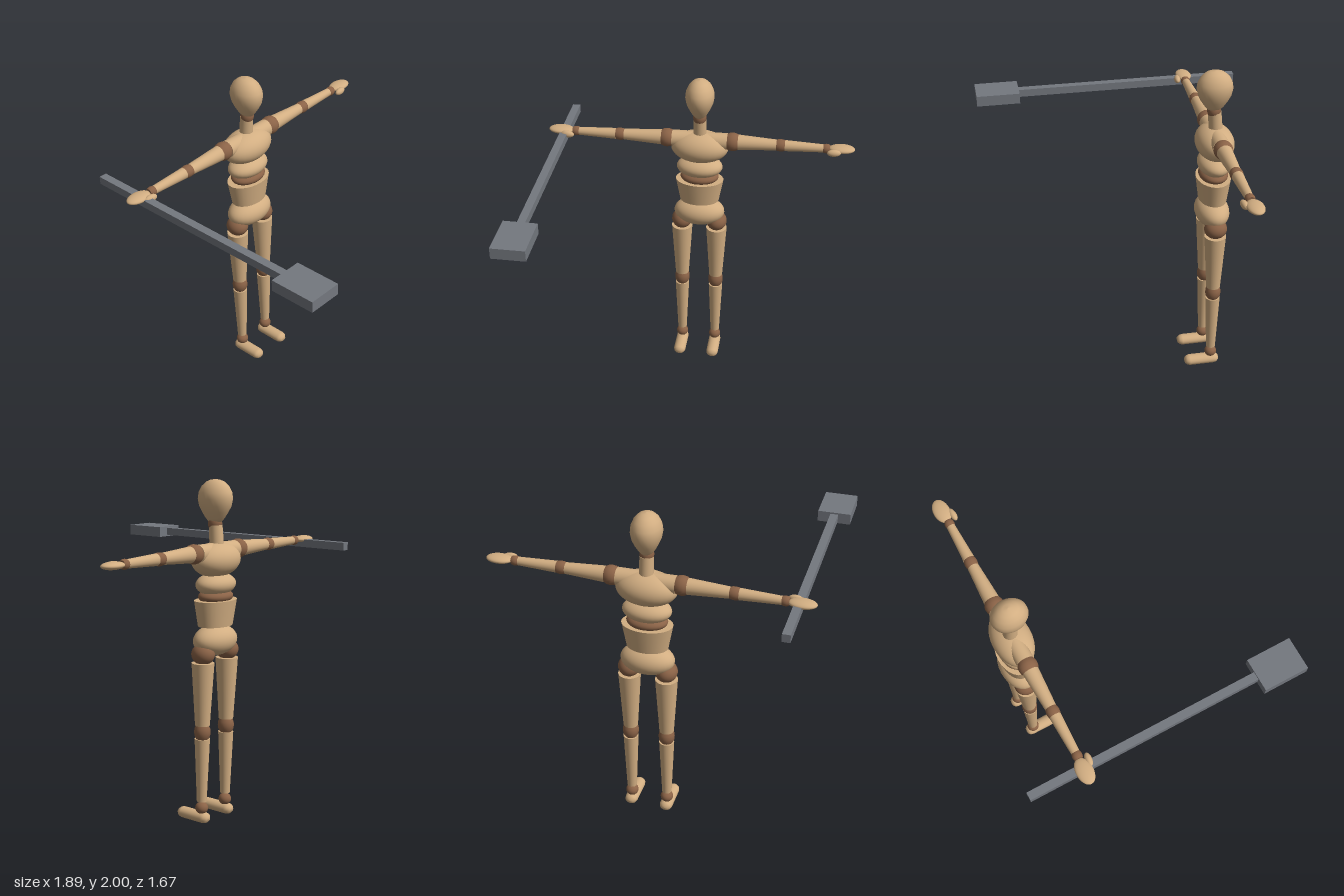
import * as THREE from 'three';

const wood = new THREE.MeshStandardMaterial({ color: 0xd2ae82 });
wood.name = 'light wood';
const joint = new THREE.MeshStandardMaterial({ color: 0x8b6347 });
joint.name = 'dark wood';
const metal = new THREE.MeshStandardMaterial({ color: 0x74787f });
metal.name = 'grey metal';

const Z = -0.505; // depth of the body's centre line

export function createModel() {
  const model = new THREE.Group();
  model.name = 'mannequin';

  function add(name, geometry, material, x, y, z = Z, parent = model) {
    const mesh = new THREE.Mesh(geometry, material);
    mesh.name = name;
    mesh.position.set(x, y, z);
    parent.add(mesh);
    return mesh;
  }
  function ellipsoid(name, material, x, y, z, rx, ry, rz, parent) {
    const mesh = add(name, new THREE.SphereGeometry(1, 28, 20), material, x, y, z, parent);
    mesh.scale.set(rx, ry, rz);
    return mesh;
  }
  const lathe = (points) =>
    new THREE.LatheGeometry(points.map(([r, y]) => new THREE.Vector2(r, y)), 28);
  // Closed turned bead: bulges in the middle, flat ends
  const bead = (r, end, half) =>
    lathe([[0, -half], [end, -half], [end, -half], [r * 0.95, -half * 0.55], [r, 0],
      [r * 0.95, half * 0.55], [end, half], [end, half], [0, half]]);
  const taper = (top, bottom, height) => new THREE.CylinderGeometry(top, bottom, height, 28);

  // Head and neck
  const head = add('head', lathe([[0, 1.75], [0.03, 1.757], [0.047, 1.78], [0.066, 1.815],
    [0.081, 1.85], [0.088, 1.89], [0.084, 1.925], [0.069, 1.96], [0.046, 1.985],
    [0.024, 1.996], [0, 2]]), wood, 0, 0, -0.495);
  head.scale.z = 1.22;
  add('neckJoint', bead(0.041, 0.035, 0.025), joint, 0, 1.75, -0.495);
  add('neck', taper(0.039, 0.042, 0.14), wood, 0, 1.67, -0.505).rotation.x = 0.08;

  // Torso
  ellipsoid('chest', wood, 0, 1.545, Z, 0.178, 0.1, 0.114);
  add('shoulderBar', taper(0.052, 0.052, 0.34), wood, 0, 1.59).rotation.z = Math.PI / 2;
  ellipsoid('ribs', wood, 0, 1.405, Z, 0.143, 0.067, 0.097);
  ellipsoid('waistJoint', joint, 0, 1.335, Z, 0.12, 0.045, 0.088);
  add('belly', taper(0.15, 0.122, 0.15), wood, 0, 1.24).scale.z = 0.69;
  ellipsoid('pelvis', wood, 0, 1.08, Z, 0.16, 0.09, 0.104);

  for (const side of [1, -1]) {
    // Arm: the local y axis runs outward from the shoulder
    const arm = new THREE.Group();
    arm.name = side > 0 ? 'leftArm' : 'rightArm';
    arm.position.set(0, 1.592, Z);
    arm.rotation.z = -side * Math.PI / 2;
    model.add(arm);
    add('shoulder', bead(0.057, 0.046, 0.036), joint, 0, 0.202, 0, arm);
    add('upperArm', taper(0.033, 0.047, 0.24), wood, 0, 0.355, 0, arm);
    add('elbow', bead(0.038, 0.032, 0.03), joint, 0, 0.496, 0, arm);
    add('forearm', taper(0.024, 0.034, 0.25), wood, 0, 0.647, 0, arm);
    add('wrist', bead(0.029, 0.023, 0.022), joint, 0, 0.772, 0, arm);
    ellipsoid('hand', wood, side * 0.866, 1.594, -0.51, 0.079, 0.022, 0.049);
    ellipsoid('thumb', wood, side * 0.82, 1.588, -0.461, 0.042, 0.022, 0.02)
      .rotation.y = side * 0.1;

    // Leg
    const leg = new THREE.Group();
    leg.name = side > 0 ? 'leftLeg' : 'rightLeg';
    leg.position.set(side * 0.111, 0, Z);
    model.add(leg);
    ellipsoid('hip', joint, 0, 1.01, 0, 0.065, 0.062, 0.07, leg);
    add('thigh', taper(0.066, 0.043, 0.37), wood, 0, 0.775, 0, leg);
    add('knee', bead(0.048, 0.036, 0.04), joint, 0, 0.55, 0, leg);
    add('shin', taper(0.045, 0.029, 0.38), wood, 0, 0.32, 0, leg);
    ellipsoid('ankle', joint, 0, 0.09, 0, 0.038, 0.036, 0.038, leg);
    // Foot: flattened rounded bar pointing forward
    const foot = add('foot', lathe([[0, -0.052], [0.019, -0.05], [0.034, -0.036], [0.039, -0.015],
      [0.039, 0.135], [0.034, 0.153], [0.02, 0.167], [0, 0.168]]), wood, 0, 0.033, 0, leg);
    foot.rotation.x = Math.PI / 2;
    foot.scale.z = 0.033 / 0.039;
  }

  // Long mallet held in the right hand
  const mallet = new THREE.Group();
  mallet.name = 'mallet';
  model.add(mallet);
  add('malletHandle', new THREE.BoxGeometry(0.047, 0.047, 1.42), metal, -0.845, 1.572, -0.125, mallet);
  add('malletHead', new THREE.BoxGeometry(0.197, 0.066, 0.27), metal, -0.845, 1.572, 0.7, mallet);
  return model;
}
